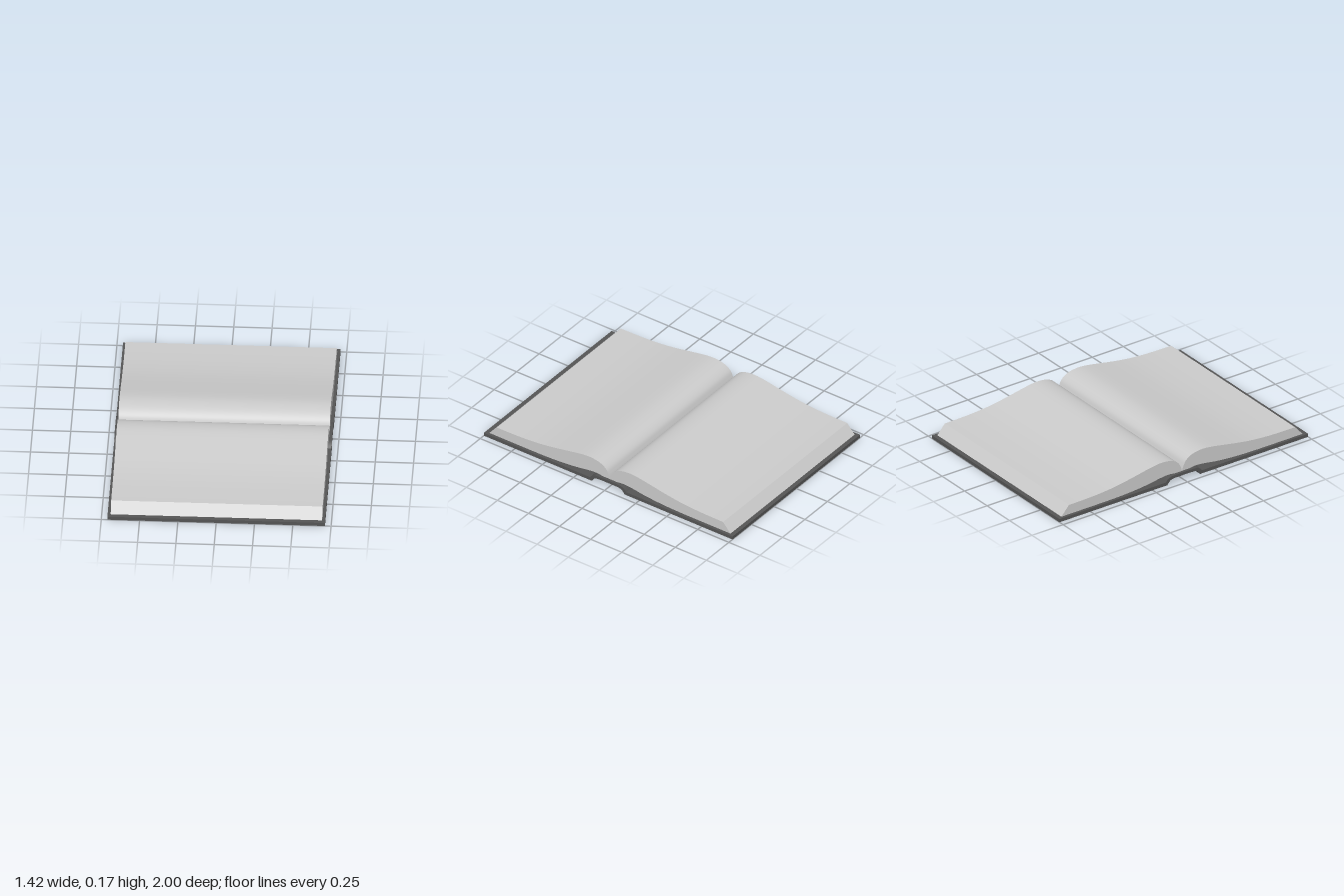
import * as THREE from 'three';
import { toCreasedNormals } from 'three/addons/utils/BufferGeometryUtils.js';

const vec = (pts) => pts.map(([z, y]) => new THREE.Vector2(z, y));

// Smooth curve through a few (z, y) points
const smooth = (pts, n) => new THREE.SplineCurve(vec(pts)).getPoints(n);

// Sweeps a (z, y) outline along x, centred on x = 0
function sweep(points, width, crease) {
  const geo = new THREE.ExtrudeGeometry(new THREE.Shape(points), {
    depth: width, bevelEnabled: false, steps: 1,
  });
  geo.translate(0, 0, -width / 2);
  geo.rotateY(-Math.PI / 2);
  return toCreasedNormals(geo, crease);
}

export function createModel() {
  const book = new THREE.Group();
  book.name = 'openBook';
  const paper = new THREE.MeshStandardMaterial({ color: 0xcccccc });
  const binding = new THREE.MeshStandardMaterial({ color: 0x555555 });

  // Cover: two flat boards joined by a raised spine
  const upper = [[1, 0.023], [0.145, 0.023], [0.135, 0.036], [0.12, 0.048], [0.1, 0.054], [0.075, 0.056]];
  const lower = [[0.06, 0.036], [0.09, 0.034], [0.108, 0.028], [0.12, 0.016], [0.132, 0], [1, 0]];
  const mirror = (pts) => pts.map(([z, y]) => [-z, y]).reverse();
  const outline = [...upper, ...mirror(upper), ...mirror(lower), ...lower];
  const cover = new THREE.Mesh(sweep(vec(outline), 1.42, 0.6), binding);
  cover.name = 'cover';
  book.add(cover);

  // Page block: swells beside the gutter, flattens towards a slanted fore edge
  const top = smooth([
    [0, 0.056], [0.012, 0.09], [0.03, 0.122], [0.065, 0.148], [0.11, 0.162], [0.17, 0.167],
    [0.24, 0.16], [0.34, 0.142], [0.45, 0.122], [0.56, 0.106], [0.68, 0.096], [0.8, 0.092], [0.91, 0.091],
  ], 48);
  const underside = smooth([
    [0.62, 0.023], [0.5, 0.025], [0.38, 0.031], [0.27, 0.042], [0.18, 0.056], [0.11, 0.062], [0.06, 0.056],
  ], 24);
  const pageGeo = sweep([...top, ...vec([[0.97, 0.023]]), ...underside], 1.38, 0.6);
  ['frontPages', 'backPages'].forEach((name, i) => {
    const pages = new THREE.Mesh(pageGeo, paper);
    pages.name = name;
    pages.rotation.y = i * Math.PI;
    book.add(pages);
  });

  return book;
}
